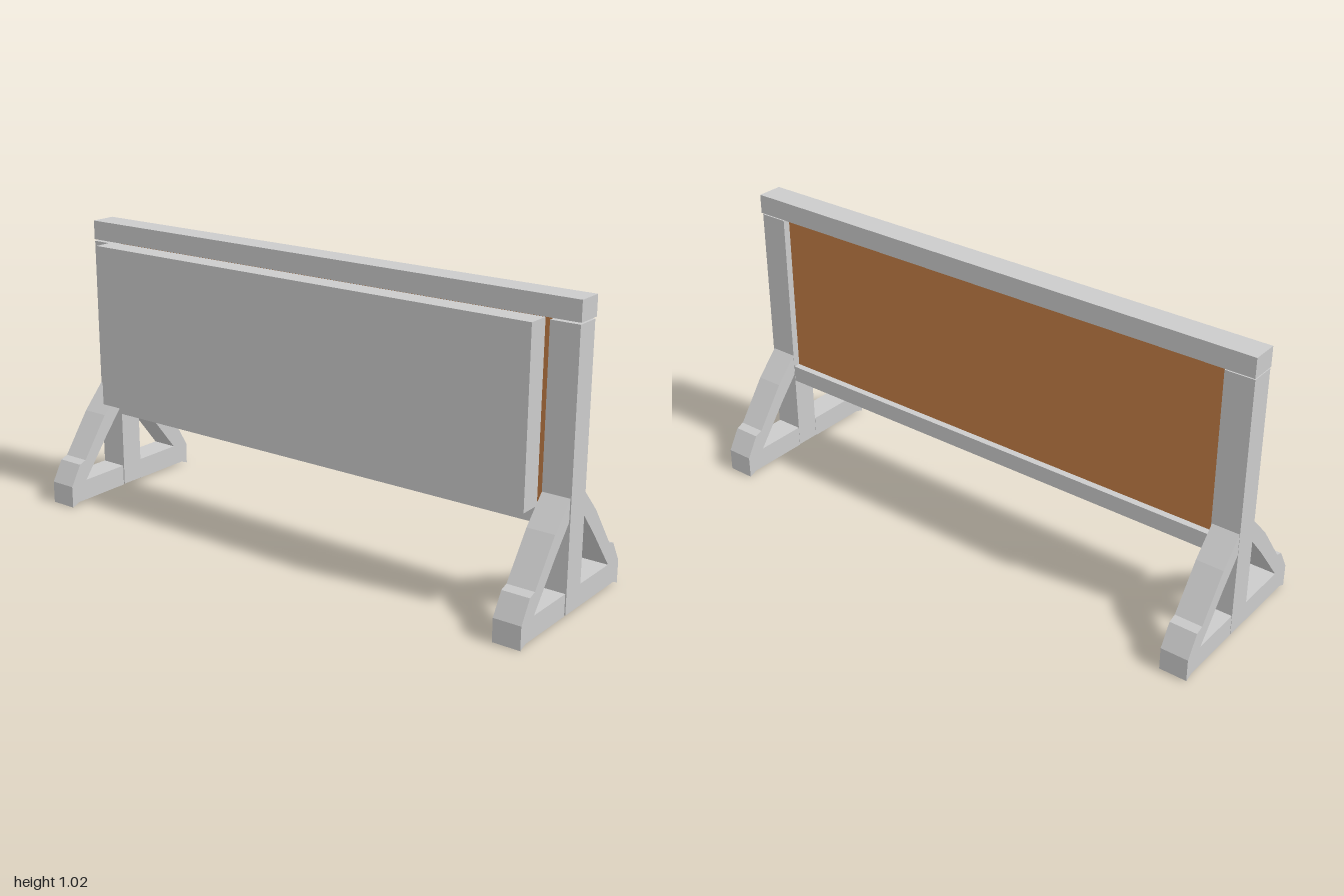
import * as THREE from 'three';

const grey = new THREE.MeshStandardMaterial({ color: 0xcccccc, flatShading: true });
const brown = new THREE.MeshStandardMaterial({ color: 0xc47e45, flatShading: true });

// Box given by its lower and upper corners
function block(name, [x0, y0, z0], [x1, y1, z1], material = grey) {
  const mesh = new THREE.Mesh(new THREE.BoxGeometry(x1 - x0, y1 - y0, z1 - z0), material);
  mesh.position.set((x0 + x1) / 2, (y0 + y1) / 2, (z0 + z1) / 2);
  mesh.name = name;
  return mesh;
}

// Triangular brace: sloping strut and foot bar around an open triangle
function brace(name, side, z0, depth) {
  const points = (list) => list.map(([x, y]) => new THREE.Vector2(side * x, y));
  const shape = new THREE.Shape(points([
    [0.045, 0.012], [0.28, 0.012], [0.31, 0], [0.31, 0.08], [0.266, 0.155],
    [0.237, 0.165], [0.13, 0.312], [0.045, 0.402],
    [0.045, 0.324], [0.12, 0.237], [0.237, 0.088], [0.045, 0.088],
  ]));
  const mesh = new THREE.Mesh(new THREE.ExtrudeGeometry(shape, { depth, bevelEnabled: false }), grey);
  mesh.position.z = z0;
  mesh.name = name;
  return mesh;
}

export function createModel() {
  const model = new THREE.Group();
  model.name = 'boardOnStand';

  // Frame
  model.add(block('topBeam', [-0.043, 0.949, -1], [0.051, 1.018, 1]));
  model.add(block('bottomRail', [-0.043, 0.295, -0.9], [0.045, 0.355, 0.9]));

  // Coloured panel in the frame and the thick slab behind it
  model.add(block('panel', [-0.02, 0.355, -0.9], [0.02, 0.95, 0.9], brown));
  model.add(block('backSlab', [-0.132, 0.355, -0.9], [-0.052, 0.951, 0.886]));

  // One post with two braces at each end
  for (const [end, z0] of [['front', 0.896], ['back', -0.998]]) {
    const stand = new THREE.Group();
    stand.name = end + 'Stand';
    stand.add(block(end + 'Post', [-0.043, 0.015, z0], [0.046, 0.943, z0 + 0.102]));
    stand.add(brace(end + 'LeftBrace', 1, z0 + 0.001, 0.098));
    stand.add(brace(end + 'RightBrace', -1, z0 + 0.001, 0.098));
    model.add(stand);
  }
  return model;
}
